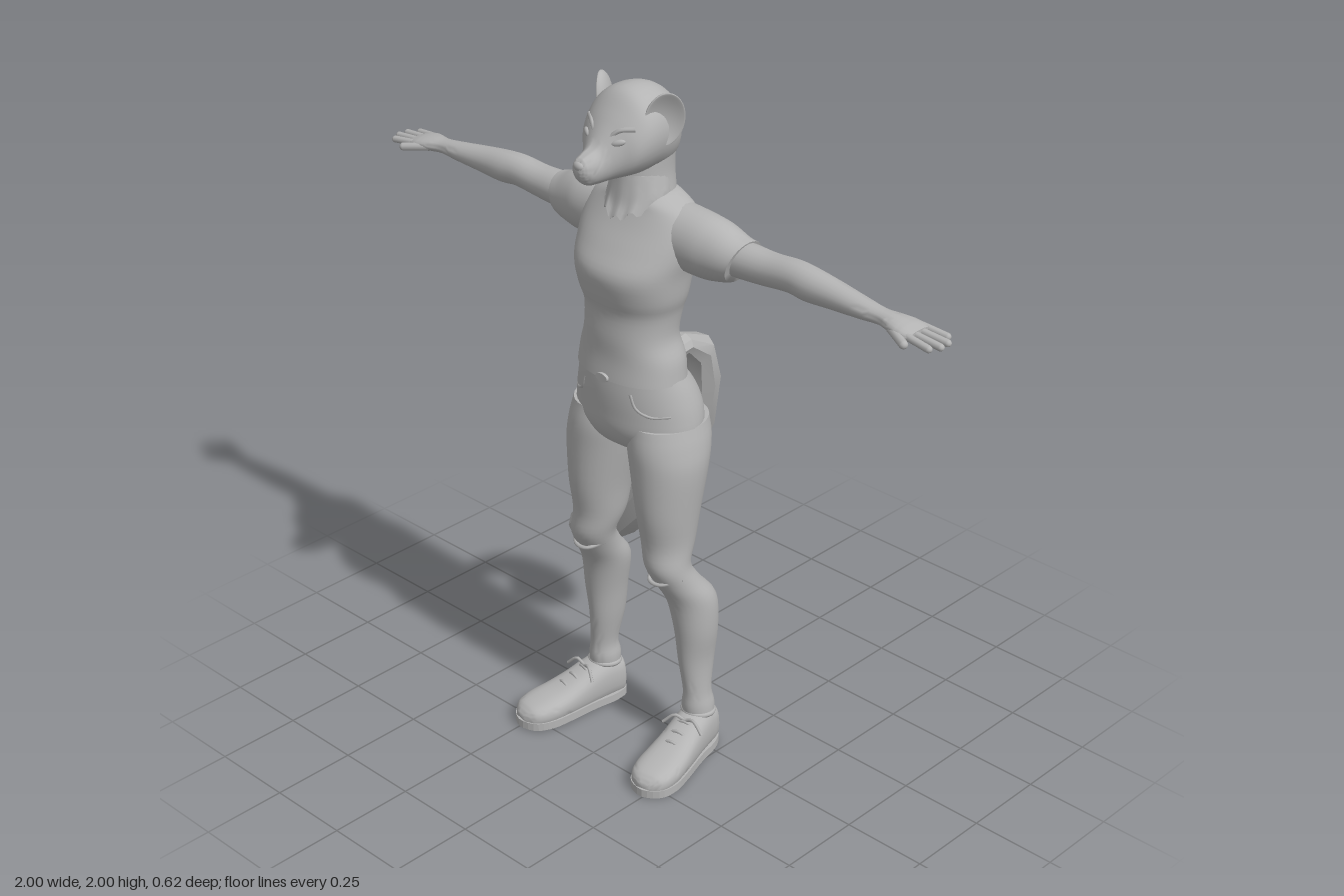
import * as THREE from 'three';
import { toCreasedNormals } from 'three/addons/utils/BufferGeometryUtils.js';

const V = (x, y, z) => new THREE.Vector3(x, y, z);
const X = V(1, 0, 0), Y = V(0, 1, 0), Z = V(0, 0, 1);

// Lofts rings [x, y, z, ru, rv]. Radii lie along frame u and v; a null frame follows the path.
function loft(rings, frame, { seg = 28, sub = 4, pow = 2, crease = 1, warp } = {}) {
  const path = new THREE.CatmullRomCurve3(rings.map(r => V(r[0], r[1], r[2])), false, 'catmullrom');
  const radii = new THREE.CatmullRomCurve3(rings.map(r => V(r[3], r[4], 0)), false, 'catmullrom');
  const n = (rings.length - 1) * sub, pos = [], idx = [];
  const sp = a => Math.sign(a) * Math.pow(Math.abs(a), 2 / pow);
  for (let i = 0; i <= n; i++) {
    const c = path.getPoint(i / n), r = radii.getPoint(i / n);
    let [u, v] = frame || [];
    if (!frame) {
      const t = path.getTangent(i / n);
      u = X.clone().addScaledVector(t, -t.x).normalize();
      v = t.clone().cross(u);
    }
    for (let j = 0; j < seg; j++) {
      const a = j / seg * Math.PI * 2;
      const p = c.clone().addScaledVector(u, r.x * sp(Math.cos(a))).addScaledVector(v, r.y * sp(Math.sin(a)));
      if (warp) warp(p, a, i / n);
      pos.push(p.x, p.y, p.z);
      if (i < n) {
        const k = i * seg + j, m = i * seg + (j + 1) % seg;
        idx.push(k, m, k + seg, m, m + seg, k + seg);
      }
    }
  }
  // end caps
  for (const end of [0, 1]) {
    const c = V(0, 0, 0), base = end * n * seg, k = pos.length / 3;
    for (let j = 0; j < seg; j++) c.add(V(...pos.slice((base + j) * 3, (base + j) * 3 + 3)));
    c.divideScalar(seg);
    pos.push(c.x, c.y, c.z);
    for (let j = 0; j < seg; j++) {
      const a = base + j, b = base + (j + 1) % seg;
      idx.push(k, end ? a : b, end ? b : a);
    }
  }
  const g = new THREE.BufferGeometry();
  g.setAttribute('position', new THREE.Float32BufferAttribute(pos, 3));
  g.setIndex(idx);
  return toCreasedNormals(g, crease);
}
const UP = [Z, X], SIDE = [Y, Z], FWD = [X, Y];

// Rounded rod between two points
function rod(a, b, r) {
  const d = b.clone().sub(a);
  const g = new THREE.CapsuleGeometry(r, d.length(), 4, 10);
  g.applyQuaternion(new THREE.Quaternion().setFromUnitVectors(Y, d.normalize()));
  return g.translate((a.x + b.x) / 2, (a.y + b.y) / 2, (a.z + b.z) / 2);
}
const tube = (pts, r) => new THREE.TubeGeometry(new THREE.CatmullRomCurve3(pts), 16, r, 6);
const blob = (x, y, z, a, b, c) => new THREE.SphereGeometry(1, 20, 14).scale(a, b, c).translate(x, y, z);

// Mirrors a geometry in x and keeps its faces outward
function mirror(geo) {
  const g = geo.index ? geo.toNonIndexed() : geo.clone();
  g.scale(-1, 1, 1);
  for (const at of [g.attributes.position, g.attributes.normal]) {
    const a = at.array;
    for (let i = 0; i < a.length; i += 9)
      for (let k = 0; k < 3; k++) [a[i + 3 + k], a[i + 6 + k]] = [a[i + 6 + k], a[i + 3 + k]];
  }
  return g;
}

export function createModel() {
  const root = new THREE.Group();
  const grey = new THREE.MeshStandardMaterial({ color: 0xb4b4b4 });
  grey.name = 'clay grey';
  const add = (name, geo) => {
    const m = new THREE.Mesh(geo, grey);
    m.name = name;
    root.add(m);
  };
  const pair = (name, geo) => { add(name + 'Left', geo); add(name + 'Right', mirror(geo)); };

  // Shirt
  add('shirt', loft([
    [0, 1.19, .083, .114, .168], [0, 1.25, .08, .11, .16], [0, 1.31, .085, .105, .14], [0, 1.38, .077, .11, .145],
    [0, 1.43, .077, .124, .16], [0, 1.5, .075, .138, .17], [0, 1.56, .055, .125, .185], [0, 1.62, .035, .105, .19],
    [0, 1.665, .03, .085, .165], [0, 1.69, .03, .078, .12], [0, 1.705, .03, .065, .09],
  ], UP, { seg: 40, pow: 2.2 }));
  pair('sleeve', loft([
    [.1, 1.595, .02, .09, .085], [.2, 1.59, .02, .088, .08], [.25, 1.583, .015, .083, .075],
    [.3, 1.575, .01, .068, .068], [.325, 1.573, .005, .061, .066],
  ], SIDE, { warp: (p, a, t) => { p.x += (p.y - 1.575) * .35 * t; } }));

  // Arms and hands
  pair('arm', loft([
    [.25, 1.58, .01, .05, .05], [.34, 1.58, .005, .05, .05], [.42, 1.582, .005, .046, .046], [.5, 1.59, .007, .045, .045],
    [.56, 1.587, .01, .046, .045], [.64, 1.585, .012, .038, .04], [.74, 1.583, .018, .027, .033], [.8, 1.582, .02, .021, .027],
    [.84, 1.58, .02, .021, .038], [.88, 1.577, .018, .018, .048], [.915, 1.572, .016, .012, .045],
  ], SIDE, { seg: 20 }));
  [[-.022, .965, -.028], [.003, .988, 0], [.028, .99, .03], [.05, .975, .058]].forEach(([z, x, z2], i) =>
    pair('finger' + (i + 1), rod(V(.89, 1.574, z), V(x, 1.566, z2), .01)));
  pair('thumb', rod(V(.845, 1.575, .045), V(.915, 1.566, .08), .012));

  // Trousers
  add('trouserHips', loft([
    [0, .955, .055, .05, .09], [0, .98, .055, .1, .18], [0, 1.03, .055, .13, .205], [0, 1.09, .054, .138, .2],
    [0, 1.15, .065, .13, .184], [0, 1.205, .085, .108, .164],
  ], UP, { seg: 40 }));
  pair('trouserLeg', loft([
    [.105, 1.06, .05, .12, .1], [.112, 1, .055, .125, .108], [.122, .93, .065, .115, .105], [.13, .8, .077, .098, .085],
    [.133, .7, .08, .08, .073], [.145, .63, .095, .066, .064], [.156, .57, .066, .067, .063], [.168, .5, .022, .075, .067],
    [.178, .4, .012, .068, .058], [.178, .3, .01, .06, .045], [.187, .2, .015, .045, .037], [.188, .15, .012, .05, .044],
    [.19, .105, .01, .047, .045],
  ].reverse(), UP));
  pair('hemFold', new THREE.TorusGeometry(.043, .008, 8, 28).rotateX(Math.PI / 2 - .1).translate(.189, .125, .012));
  pair('kneeFold', tube([V(.095, .6, .1), V(.125, .588, .146), V(.165, .588, .146), V(.207, .605, .1)], .006));
  add('button', new THREE.CylinderGeometry(.018, .018, .012, 20).rotateX(Math.PI / 2).scale(1.2, .7, 1).translate(0, 1.195, .197));
  // Pocket seams laid over the curve of the hips
  const onHip = (x, y) => V(x, y, .058 + .134 * Math.sqrt(Math.max(0, 1 - (x / .193) ** 2)));
  pair('pocketSeam', tube([onHip(.085, 1.165), onHip(.1, 1.125), onHip(.135, 1.105), onHip(.175, 1.105)], .005));

  // Shoes, splayed outward
  const place = g => g.rotateY(.2).translate(.187, 0, 0);
  pair('shoe', place(loft([
    [0, .06, -.042, .028, .05], [0, .065, -.03, .046, .065], [0, .07, .02, .053, .07], [0, .063, .07, .056, .065],
    [0, .052, .12, .06, .055], [0, .043, .18, .066, .043], [0, .037, .24, .067, .037], [0, .032, .285, .053, .03],
    [0, .026, .308, .022, .018],
  ], FWD, { pow: 2.6 })));
  const half = [[.035, -.042], [.053, 0], [.057, .08], [.068, .18], [.07, .24], [.052, .29]];
  const outline = [[0, -.046], ...half, [0, .315], ...half.map(([x, z]) => [-x, z]).reverse()];
  const spline = new THREE.CatmullRomCurve3(outline.map(([x, z]) => V(x, z, 0)), true);
  const soleShape = new THREE.Shape(spline.getPoints(48).map(p => new THREE.Vector2(p.x, p.y)));
  pair('sole', place(new THREE.ExtrudeGeometry(soleShape, { depth: .024, bevelEnabled: false })
    .rotateX(Math.PI / 2).translate(0, .024, 0)));
  for (let i = 0; i < 3; i++) {
    const z = .085 + i * .035, y = .122 - i * .014;
    pair('lace' + (i + 1), place(tube([V(-.04, y - .02, z), V(0, y, z + .004), V(.04, y - .02, z)], .005)));
  }
  pair('laceBow', place(tube([V(-.065, .105, .1), V(-.03, .135, .09), V(0, .125, .085), V(.03, .135, .09), V(.065, .105, .1)], .005)));

  // Neck and the jagged fur bib
  add('neck', loft([
    [0, 1.64, .035, .085, .095], [0, 1.7, .033, .082, .086], [0, 1.76, .035, .083, .08], [0, 1.84, .03, .075, .085],
  ], UP));
  add('furBib', loft([
    [0, 1.64, .062, .09, .085], [0, 1.675, .052, .083, .09], [0, 1.72, .045, .08, .084], [0, 1.76, .04, .078, .078],
  ], UP, { seg: 48, warp: (p, a, t) => { p.y += (1 - t) * (Math.abs(p.x) * .35 + (Math.round(a * 24 / Math.PI) % 4 < 2 ? .009 : -.005)); } }));

  // Head with tapering muzzle
  add('head', loft([
    [0, 1.86, -.048, .03, .045], [0, 1.86, -.035, .068, .09], [0, 1.872, .015, .1, .115], [0, 1.88, .07, .112, .119],
    [0, 1.875, .12, .114, .114], [0, 1.855, .16, .1, .09], [0, 1.835, .19, .07, .07], [0, 1.815, .22, .045, .052],
    [0, 1.81, .25, .034, .044], [0, 1.813, .272, .025, .031], [0, 1.815, .282, .011, .014],
  ], FWD, { seg: 32 }));
  add('nose', blob(0, 1.825, .273, .019, .014, .012));
  pair('eye', blob(0, 0, 0, .021, .009, .008).rotateZ(.3).rotateY(.5).translate(.055, 1.878, .187));
  pair('brow', tube([V(.025, 1.885, .19), V(.05, 1.907, .176), V(.083, 1.912, .152)], .007));

  // Cupped round ears
  const ear = new THREE.SphereGeometry(1, 28, 20);
  const ep = ear.attributes.position;
  for (let i = 0; i < ep.count; i++) {
    const x = ep.getX(i), y = ep.getY(i), z = ep.getZ(i);
    ep.setXYZ(i, x * .055, y * .075, z > 0 ? .006 * Math.sqrt(z) - .02 * z * z : .026 * z);
  }
  ear.computeVertexNormals();
  pair('ear', ear.rotateY(1.05).rotateZ(-.12).translate(.112, 1.925, .075));

  // Faceted bushy tail
  add('tail', loft([
    [.01, 1.18, -.03, .035, .026], [.01, 1.195, -.1, .042, .03], [0, 1.15, -.17, .052, .05], [-.03, 1.04, -.215, .062, .062],
    [-.08, .88, -.232, .072, .075], [-.16, .72, -.232, .077, .08], [-.25, .58, -.228, .08, .083], [-.35, .47, -.225, .08, .085],
    [-.45, .39, -.222, .073, .078], [-.52, .355, -.23, .05, .055], [-.56, .335, -.24, .012, .02],
  ], null, { seg: 9, sub: 1, crease: .4 }));

  return root;
}
